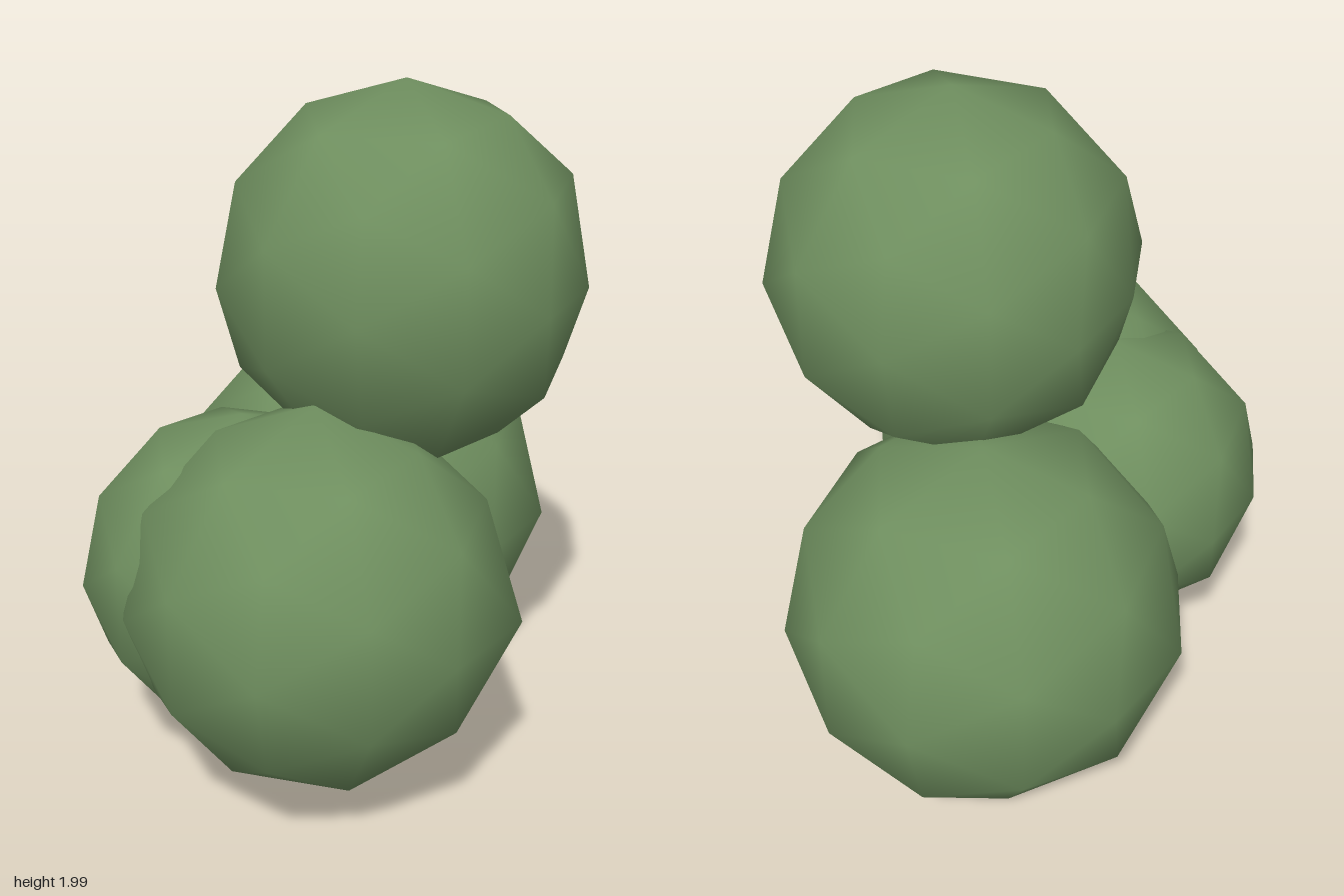
import * as THREE from 'three';
import { mergeVertices } from 'three/addons/utils/BufferGeometryUtils.js';

const foliage = new THREE.MeshStandardMaterial({ color: 0x6f8f5f });

// Low-poly ball of the given radius; the six points on its axes get their own reach
function clump(name, center, radius, reach) {
  let geo = new THREE.IcosahedronGeometry(1, 1);
  geo.deleteAttribute('normal');
  geo.deleteAttribute('uv');
  geo = mergeVertices(geo, 1e-3);
  const pos = geo.attributes.position;
  const v = new THREE.Vector3();
  for (let i = 0; i < pos.count; i++) {
    v.fromBufferAttribute(pos, i).normalize();
    const axis = v.toArray().findIndex((c) => Math.abs(c) > 0.99);
    v.multiplyScalar(axis < 0 ? radius : reach[axis]);
    pos.setXYZ(i, v.x, v.y, v.z);
  }
  geo.computeVertexNormals();
  const mesh = new THREE.Mesh(geo, foliage);
  mesh.name = name;
  mesh.position.set(...center);
  return mesh;
}

export function createModel() {
  const bush = new THREE.Group();
  bush.name = 'bush';
  bush.add(
    clump('topClump', [0.165, 1.46, 0], 0.535, [0.515, 0.54, 0.51]),
    clump('frontClump', [0.03, 0.643, 0.417], 0.54, [0.575, 0.567, 0.543]),
    clump('backClump', [-0.06, 0.58, -0.385], 0.578, [0.588, 0.573, 0.575]),
    clump('rightClump', [-0.225, 0.63, 0.28], 0.47, [0.463, 0.47, 0.47]),
  );
  return bush;
}
